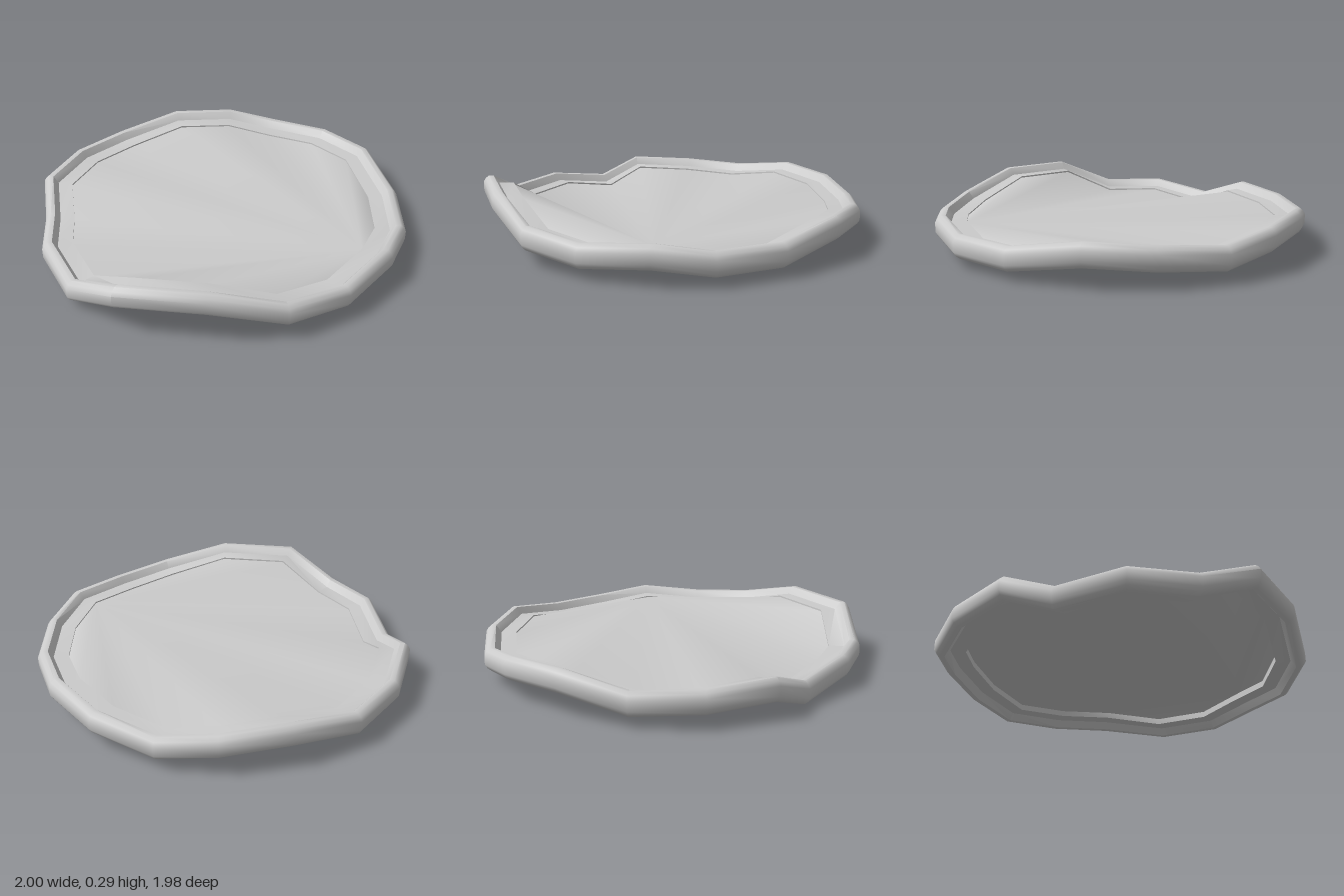
import * as THREE from 'three';
import { toCreasedNormals } from 'three/addons/utils/BufferGeometryUtils.js';

// Warped outline of the rim, clockwise from the back: x, height, z
const OUTLINE = [
  [-0.13, 0.16, -0.99], [0.17, 0.12, -0.99], [0.50, 0.147, -0.87],
  [0.76, 0.165, -0.65], [0.94, 0.108, -0.31], [1.00, 0.108, 0.04],
  [0.94, 0.145, 0.33], [0.76, 0.118, 0.63], [0.50, 0.142, 0.85],
  [0.13, 0.23, 0.96], [-0.30, 0.223, 0.985], [-0.58, 0.097, 0.83],
  [-0.80, 0.112, 0.57], [-0.91, 0.063, 0.24], [-1.00, 0.148, 0.00],
  [-0.94, 0.13, -0.35], [-0.76, 0.118, -0.65], [-0.46, 0.175, -0.87],
];

// Upper half of the cross-section, from the ledge's inner edge over the
// sloping inner wall and the crest to the outer wall: scale, height offset
const UPPER = [
  [0.838, 0.02], [0.918, 0.02], [0.945, 0.058], [0.97, 0.06], [0.988, 0.045], [1, 0.025],
];
const SECTION = [...UPPER, ...UPPER.map(([s, dy]) => [s, -dy]).reverse()];

const place = ([x, y, z], [s, dy]) => [x * s, y + dy, z * s];

function build(points, index) {
  const geometry = new THREE.BufferGeometry();
  geometry.setAttribute('position', new THREE.Float32BufferAttribute(points.flat(), 3));
  geometry.setIndex(index);
  return geometry;
}

// Sweeps the closed cross-section around the outline
function rim() {
  const n = OUTLINE.length;
  const m = SECTION.length;
  const points = OUTLINE.flatMap((p) => SECTION.map((s) => place(p, s)));
  const index = [];
  for (let i = 0; i < n; i++) {
    for (let j = 0; j < m; j++) {
      const k = (j + 1) % m;
      const next = ((i + 1) % n) * m;
      const a = i * m + j, b = next + j, c = i * m + k, d = next + k;
      index.push(a, b, c, b, d, c);
    }
  }
  return toCreasedNormals(build(points, index), 0.85);
}

// Thin sheet fanned out from one corner, nearly flush with the ledge's top
function sheet() {
  const n = OUTLINE.length;
  const apex = 6;
  const points = OUTLINE.map((p) => place(p, [0.84, 0.012]));
  const index = [];
  for (let i = 1; i < n - 1; i++) {
    index.push(apex, (apex + i + 1) % n, (apex + i) % n);
  }
  const geometry = build(points, index);
  geometry.computeVertexNormals();
  return geometry;
}

export function createModel() {
  const group = new THREE.Group();
  group.name = 'warpedDisc';
  const material = new THREE.MeshStandardMaterial({ color: 0xcccccc, side: THREE.DoubleSide });
  const add = (name, geometry) => {
    const mesh = new THREE.Mesh(geometry, material);
    mesh.name = name;
    group.add(mesh);
  };
  add('rimWithLedge', rim());
  add('centreSheet', sheet());
  return group;
}
